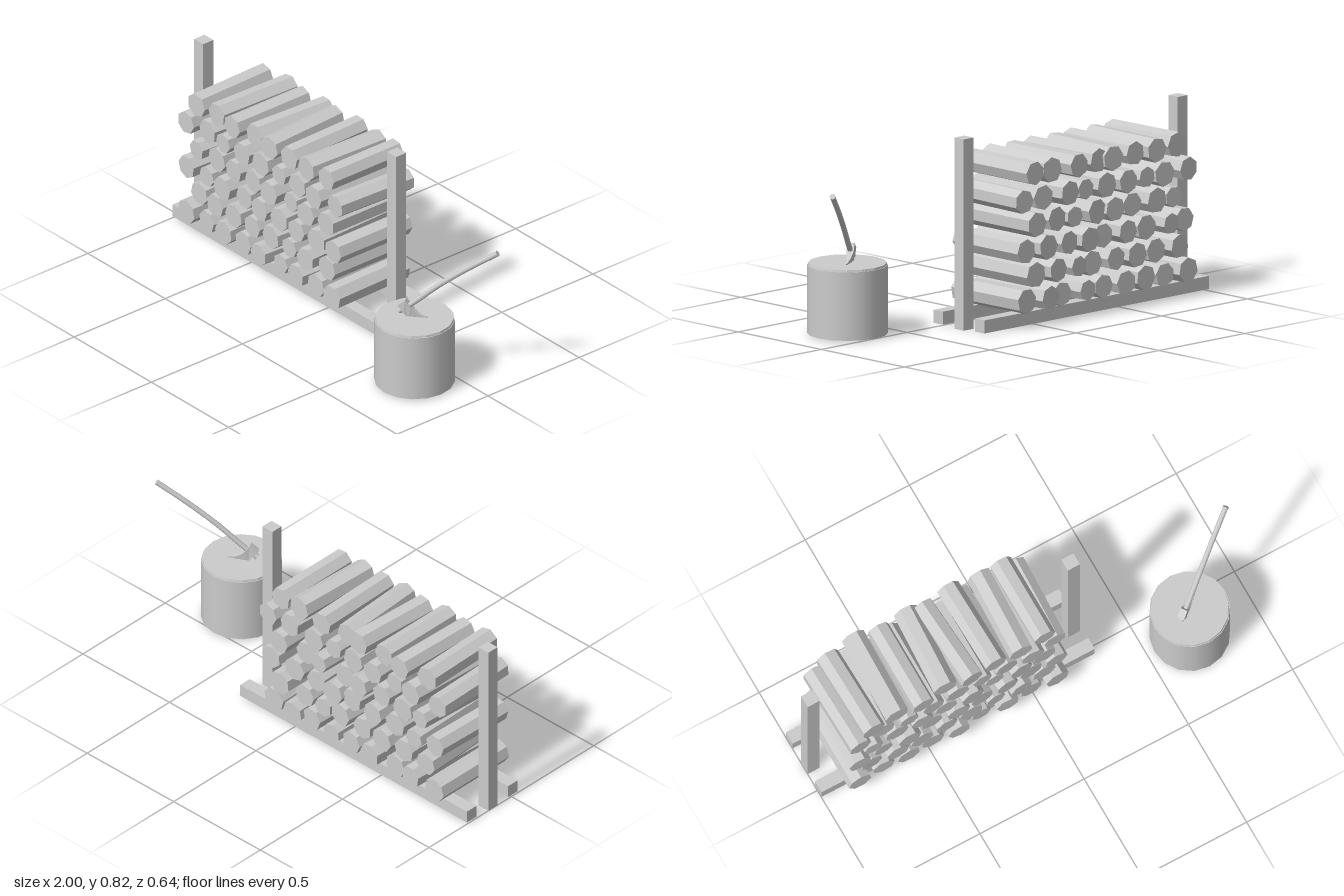
import * as THREE from 'three';

const grey = new THREE.MeshStandardMaterial({ color: 0xcccccc });
grey.name = 'plainGrey';

function flat(geo) {
  const g = geo.index ? geo.toNonIndexed() : geo;
  g.computeVertexNormals();
  return g;
}

function add(parent, name, geo) {
  const mesh = new THREE.Mesh(geo, grey);
  mesh.name = name;
  parent.add(mesh);
  return mesh;
}

function box(parent, name, x0, x1, y0, y1, z0, z1) {
  const m = add(parent, name, new THREE.BoxGeometry(x1 - x0, y1 - y0, z1 - z0));
  m.position.set((x0 + x1) / 2, (y0 + y1) / 2, (z0 + z1) / 2);
}

// Rack: two ground rails and two end posts
function makeRack() {
  const rack = new THREE.Group();
  rack.name = 'rack';
  box(rack, 'frontRail', -1, 0.31, 0.012, 0.068, -0.02, 0.036);
  box(rack, 'backRail', -1, 0.31, 0.012, 0.068, -0.27, -0.212);
  box(rack, 'rightPost', -1, -0.942, 0.004, 0.822, -0.14, -0.084);
  box(rack, 'leftPost', 0.248, 0.306, 0.004, 0.822, -0.14, -0.084);
  return rack;
}

// Logs: each row has a height, a first x, and the sideways lean of every log (hundredths)
const ROWS = [
  { y: 0.121, x: -0.845, lean: [0, 2, 0, 1.5, 1.5, 0, 1.5, -1.5, -1], small: [5] },
  { y: 0.23, x: -0.78, lean: [-1.5, 0, 0, 0, 1.5, -1.5, -2, 0], small: [5] },
  { y: 0.337, x: -0.845, lean: [1, -1, 0, 0, 1.5, -1, -2, -1.5, 0], small: [1] },
  { y: 0.446, x: -0.78, lean: [2, 0, 1.5, 1.5, -1.5, 1, -2, 0], small: [0, 5] },
  { y: 0.552, x: -0.845, lean: [-1, 2, 0, 0, 0, 0, -1.5, 1.5, 1.5], small: [2, 5] },
  { y: 0.663, x: -0.78, lean: [-1, 1, 0, 2, -2.5, -1, 1.5, 0], small: [] },
];

function makeLogs() {
  const logs = new THREE.Group();
  logs.name = 'logPile';
  let n = 0;
  for (const row of ROWS) {
    row.lean.forEach((l, i) => {
      n++;
      const r = row.small.includes(i) ? 0.045 : 0.053 + 0.002 * Math.sin(n * 2.3);
      const length = 0.39 + 0.008 * Math.sin(n * 1.7);
      const geo = new THREE.CylinderGeometry(r, r, length, 7);
      geo.rotateY(n * 1.3);
      geo.rotateX(Math.PI / 2);
      const log = add(logs, 'log', flat(geo));
      const dx = l / 100;
      log.position.set(row.x + i * 0.118 + dx / 2, row.y, -0.109 + 0.009 * Math.sin(n * 2.9));
      log.rotation.y = Math.atan2(-dx, length);
    });
  }
  return logs;
}

// Chopping block with a slightly narrower top edge
function makeBlock() {
  const block = new THREE.Group();
  block.name = 'choppingBlock';
  const side = add(block, 'blockBody', new THREE.CylinderGeometry(0.17, 0.17, 0.292, 16));
  side.position.y = 0.156;
  const rim = add(block, 'blockTop', flat(new THREE.CylinderGeometry(0.165, 0.167, 0.01, 16)));
  rim.position.y = 0.306;
  block.position.set(0.702, 0, 0.15);
  return block;
}

// Axe stuck in the block: curved handle and wedge-shaped head
function makeAxe() {
  const axe = new THREE.Group();
  axe.name = 'axe';
  const path = new THREE.CatmullRomCurve3([
    [0.645, 0.33, 0.18], [0.684, 0.366, 0.155], [0.786, 0.478, 0.085],
    [0.893, 0.58, 0.01], [0.989, 0.662, -0.057],
  ].map((p) => new THREE.Vector3(...p)));
  add(axe, 'handle', new THREE.TubeGeometry(path, 10, 0.0115, 8));
  // Handle end caps
  for (const [t, s] of [[0, -1], [1, 1]]) {
    const cap = add(axe, 'handleEnd', new THREE.CylinderGeometry(0.013, 0.012, 0.012, 8));
    const dir = path.getTangent(t).multiplyScalar(s);
    cap.position.copy(path.getPoint(t));
    cap.quaternion.setFromUnitVectors(new THREE.Vector3(0, 1, 0), dir);
  }

  // Head outline: x runs along the handle, y runs towards the cutting edge
  const s = new THREE.Shape();
  s.moveTo(-0.022, -0.027);
  s.lineTo(0.022, -0.027);
  s.lineTo(0.02, 0.012);
  s.quadraticCurveTo(0.022, 0.06, 0.055, 0.09);
  s.quadraticCurveTo(0.0, 0.11, -0.05, 0.08);
  s.quadraticCurveTo(-0.022, 0.05, -0.02, 0.012);
  s.closePath();
  const geo = new THREE.ExtrudeGeometry(s, { depth: 2, bevelEnabled: false, curveSegments: 5 });
  geo.translate(0, 0, -1);
  const pos = geo.attributes.position;
  for (let i = 0; i < pos.count; i++) {
    const t = THREE.MathUtils.clamp((pos.getY(i) - 0.012) / 0.075, 0, 1);
    pos.setZ(i, pos.getZ(i) * THREE.MathUtils.lerp(0.016, 0.002, t));
  }
  const h = new THREE.Vector3(0.64, 0.625, -0.445).normalize();
  const n = new THREE.Vector3().crossVectors(h, new THREE.Vector3(0, -1, 0)).normalize();
  const b = new THREE.Vector3().crossVectors(n, h);
  geo.applyMatrix4(new THREE.Matrix4().makeBasis(h, b, n));
  const head = add(axe, 'axeHead', flat(geo));
  head.position.set(0.665, 0.352, 0.167);
  return axe;
}

export function createModel() {
  const model = new THREE.Group();
  model.name = 'firewoodRackAndAxe';
  model.add(makeRack(), makeLogs(), makeBlock(), makeAxe());
  return model;
}
